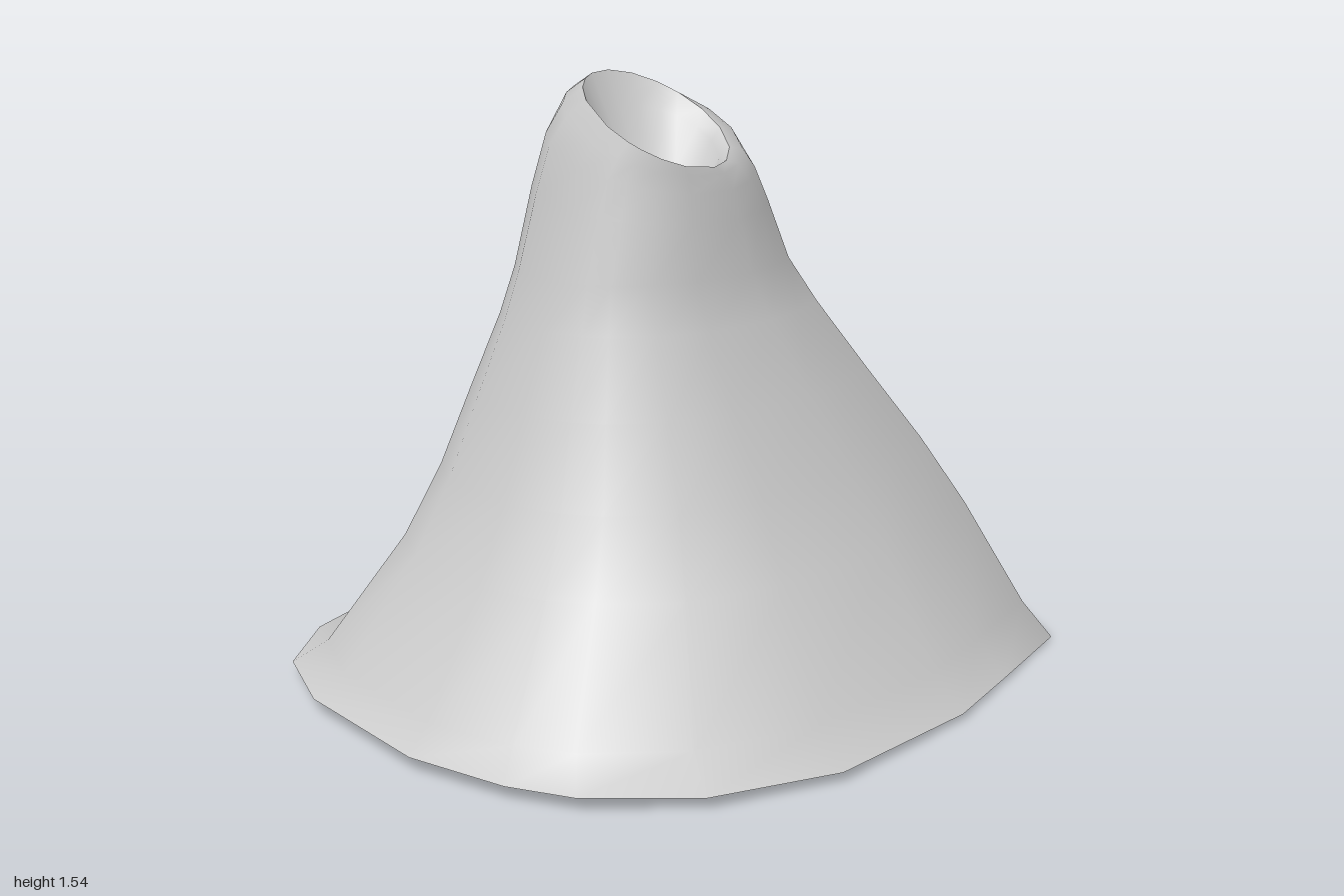
import * as THREE from 'three';

// Footprint, running from the back round by +x to the front and on by -x
const footprint = [
  [-0.2, -1], [0.13, -0.98], [0.47, -0.82], [0.62, -0.49], [0.74, -0.22], [0.84, 0.26],
  [0.77, 0.6], [0.6, 0.83], [0.45, 0.92], [0.18, 1], [-0.28, 0.99], [-0.55, 0.9],
  [-0.75, 0.71], [-0.82, 0.45], [-0.84, 0.08], [-0.82, -0.3], [-0.73, -0.68], [-0.52, -0.89],
];
const AXIS_X = 0.1, AXIS_Z = 0.21; // crater centre, about which the top rings tilt

// One ring: height, x and z extents, blend from footprint (0) to ellipse (1), tilt in x and z
function ring([y, x0, x1, z0, z1, round = 0, tiltX = 0, tiltZ = 0]) {
  return footprint.map(([fx, fz]) => {
    const u = fx / 0.84;
    const len = Math.hypot(u, fz);
    const k = 1 - round + round / len;
    const x = (x0 + x1) / 2 + (u * k * (x1 - x0)) / 2;
    const z = (z0 + z1) / 2 + (fz * k * (z1 - z0)) / 2;
    return [x, y + tiltX * (x - AXIS_X) + tiltZ * (z - AXIS_Z), z];
  });
}

// Skin a stack of rings, optionally closed by a single end point
function loft(name, rings, endPoint) {
  const n = footprint.length;
  const positions = rings.map(ring).flat(2);
  const index = [];
  for (let i = 0; i < rings.length - 1; i++) {
    for (let j = 0; j < n; j++) {
      const a = i * n + j, b = i * n + ((j + 1) % n);
      index.push(a, a + n, b, b, a + n, b + n);
    }
  }
  if (endPoint) {
    const start = (rings.length - 1) * n;
    positions.push(...endPoint);
    for (let j = 0; j < n; j++) index.push(start + j, start + n, start + ((j + 1) % n));
  }
  const geometry = new THREE.BufferGeometry();
  geometry.setAttribute('position', new THREE.Float32BufferAttribute(positions, 3));
  geometry.setIndex(index);
  geometry.computeVertexNormals();
  const mesh = new THREE.Mesh(geometry,
    new THREE.MeshStandardMaterial({ color: 0xcccccc, side: THREE.DoubleSide }));
  mesh.name = name;
  return mesh;
}

export function createModel() {
  const group = new THREE.Group();
  group.name = 'volcano';
  const rim = [1.435, -0.08, 0.27, 0.04, 0.39, 1, -0.58, 0.1];

  // Hollow mountain, flared at the foot and leaning to the front
  group.add(loft('mountainSlope', [
    [0.026, -0.84, 0.84, -1, 1, 0, 0, 0.018],
    [0.1, -0.74, 0.73, -0.94, 0.93, 0.05],
    [0.38, -0.56, 0.55, -0.78, 0.76, 0.2],
    [0.56, -0.49, 0.46, -0.65, 0.67, 0.3],
    [0.76, -0.41, 0.38, -0.475, 0.6, 0.4],
    [0.95, -0.33, 0.31, -0.31, 0.535, 0.55],
    [1.07, -0.29, 0.288, -0.21, 0.505, 0.7],
    [1.23, -0.255, 0.28, -0.13, 0.465, 0.85, -0.15],
    [1.33, -0.215, 0.275, -0.075, 0.44, 1, -0.32],
    [1.395, -0.155, 0.273, -0.02, 0.415, 1, -0.46],
    rim,
  ]));

  // Slanted crater bowl
  group.add(loft('crater', [
    rim,
    [1.39, -0.04, 0.25, 0.07, 0.36, 1, -0.5],
    [1.3, 0.03, 0.21, 0.12, 0.31, 1, -0.3],
  ], [0.12, 1.27, 0.21]));

  return group;
}
